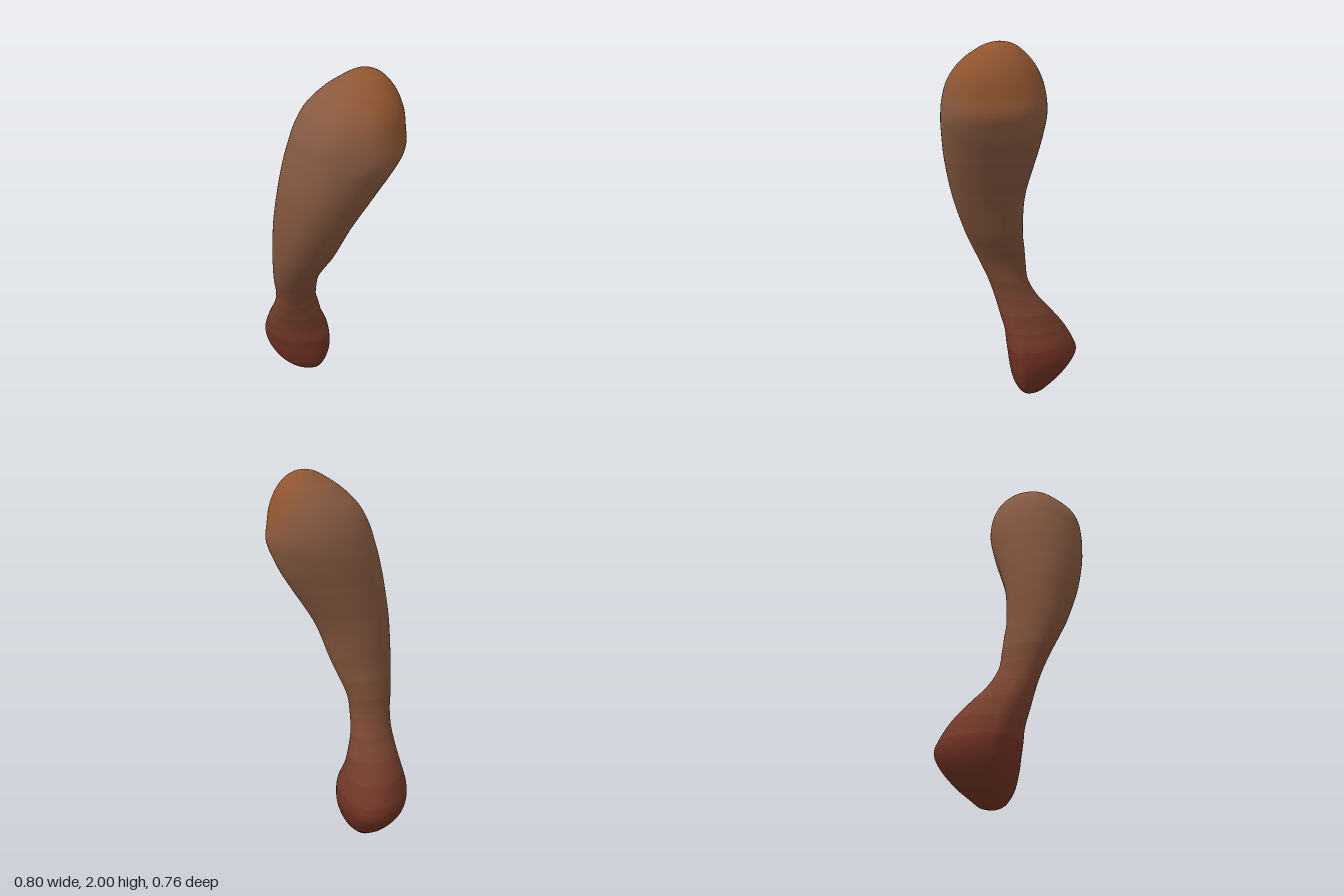
import * as THREE from 'three';
import { mergeVertices } from 'three/addons/utils/BufferGeometryUtils.js';

const { smoothstep, lerp, clamp } = THREE.MathUtils;

// Cross-sections from bottom to top: y, xMin, xMax, zMin, zMax
const SECTIONS = [
  [0, -0.16, -0.16, -0.12, -0.12],
  [0.01, -0.21, -0.11, -0.165, -0.075],
  [0.04, -0.26, -0.06, -0.205, -0.035],
  [0.1, -0.325, -0.025, -0.28, 0],
  [0.18, -0.38, 0, -0.35, 0.02],
  [0.25, -0.4, 0.005, -0.38, 0.03],
  [0.32, -0.395, -0.005, -0.355, 0.04],
  [0.4, -0.37, -0.04, -0.305, 0.05],
  [0.5, -0.33, -0.06, -0.225, 0.08],
  [0.6, -0.295, -0.07, -0.14, 0.11],
  [0.7, -0.28, -0.06, -0.085, 0.145],
  [0.8, -0.28, -0.04, -0.07, 0.19],
  [0.9, -0.275, 0.01, -0.06, 0.235],
  [1.0, -0.27, 0.065, -0.05, 0.275],
  [1.2, -0.255, 0.155, -0.06, 0.335],
  [1.4, -0.225, 0.27, -0.105, 0.37],
  [1.55, -0.195, 0.358, -0.145, 0.38],
  [1.64, -0.17, 0.397, -0.162, 0.38],
  [1.73, -0.14, 0.392, -0.158, 0.37],
  [1.82, -0.09, 0.378, -0.135, 0.34],
  [1.9, -0.01, 0.342, -0.09, 0.28],
  [1.96, 0.08, 0.292, -0.03, 0.2],
  [1.99, 0.14, 0.24, 0.02, 0.135],
  [2, 0.19, 0.19, 0.08, 0.08],
];

// Extra fullness of the diagonals: y, back left, front right, front left
const FULLNESS = [
  [0, 0, 0, 0],
  [0.25, 0, 0, 0],
  [0.45, 0.12, 0, 0],
  [0.65, 0, 0, 0],
  [1.1, 0.08, -0.02, 0],
  [1.45, 0.15, -0.03, 0.01],
  [1.65, 0.06, -0.04, 0.04],
  [1.85, 0, -0.12, 0.03],
  [2, 0, 0, 0],
];

function fullnessAt(y) {
  const k = Math.max(1, FULLNESS.findIndex((row) => row[0] >= y));
  const [low, high] = [FULLNESS[k - 1], FULLNESS[k]];
  const t = smoothstep(y, low[0], high[0]);
  return [1, 2, 3].map((i) => lerp(low[i], high[i], t));
}

// Colour zones: height bands along the body and rings around the crown
const BANDS = 20, RINGS = 6, CROWN_RADIUS = 0.36;
const crownCentre = new THREE.Vector3(0.32, 1.87, 0.1);
const STOPS = [[0.25, 0x6c3022], [0.5, 0x75402d], [0.9, 0x7c5039], [2, 0x895d45]];

function bodyColor(y) {
  const color = new THREE.Color(STOPS[0][1]);
  for (let i = 1; i < STOPS.length; i++) {
    const t = clamp((y - STOPS[i - 1][0]) / (STOPS[i][0] - STOPS[i - 1][0]), 0, 1);
    color.lerp(new THREE.Color(STOPS[i][1]), t);
  }
  return color;
}

const zones = [];
for (let i = 0; i < BANDS; i++) {
  const y = ((i + 0.5) / BANDS) * 2;
  const part = y < 0.45 ? 'foot' : y < 0.8 ? 'ankle' : 'shaft';
  zones.push({ name: `${part}Band${i + 1}`, color: bodyColor(y) });
}
for (let i = 0; i < RINGS; i++) {
  const color = new THREE.Color(0x90552f).lerp(bodyColor(1.8), i / RINGS);
  zones.push({ name: `crownRing${i + 1}`, color });
}

function zoneAt(p) {
  const d = p.distanceTo(crownCentre) / CROWN_RADIUS;
  if (d < 1) return BANDS + Math.floor(smoothstep(d, 0.35, 1) * RINGS);
  return Math.min(BANDS - 1, Math.floor((p.y / 2) * BANDS));
}

// One closed smooth loft through all the sections
function loftBody(rows, sides) {
  const centres = [], radii = [];
  for (const [y, x0, x1, z0, z1] of SECTIONS) {
    centres.push(new THREE.Vector3((x0 + x1) / 2, y, (z0 + z1) / 2));
    radii.push(new THREE.Vector3((x1 - x0) / 2, 0, (z1 - z0) / 2));
  }
  const path = new THREE.CatmullRomCurve3(centres, false, 'catmullrom', 0.5);
  const size = new THREE.CatmullRomCurve3(radii, false, 'catmullrom', 0.5);
  const pos = [], index = [];
  for (let i = 0; i <= rows; i++) {
    const c = path.getPoint(i / rows), r = size.getPoint(i / rows);
    // Foot sections are egg-shaped, narrow at the back; foot and ankle lean diagonally
    const egg = 1 - smoothstep(c.y, 0.35, 0.7), shift = 0.4 * egg;
    const skew = 0.16 - 0.36 * smoothstep(c.y, 0.4, 0.65) + 0.2 * smoothstep(c.y, 0.8, 1.2);
    const [backLeft, frontRight, frontLeft] = fullnessAt(c.y);
    for (let j = 0; j < sides; j++) {
      const a = (j / sides) * Math.PI * 2;
      const co = Math.cos(a), s = Math.sin(a + skew), back = Math.max(0, -s);
      const corner = co > 0 ? (Math.sin(a) < 0 ? backLeft : frontLeft) : (Math.sin(a) > 0 ? frontRight : 0);
      const full = 1 + corner * Math.sin(2 * a) ** 2;
      const x = r.x * co * (1 - 0.15 * egg * back * back);
      const z = r.z * (shift + s * (s < 0 ? 1 + shift : 1 - shift));
      pos.push(c.x + x * full, c.y, c.z + z * full);
      if (i === rows) continue;
      const p = i * sides + j, q = i * sides + ((j + 1) % sides);
      index.push(p, p + sides, q, q, p + sides, q + sides);
    }
  }
  // Both end rings shrink to a single point
  for (const [start, end] of [[0, centres[0]], [rows * sides, centres.at(-1)]]) {
    for (let j = 0; j < sides; j++) end.toArray(pos, (start + j) * 3);
  }
  const geo = new THREE.BufferGeometry();
  geo.setAttribute('position', new THREE.Float32BufferAttribute(pos, 3));
  geo.setIndex(index);
  const merged = mergeVertices(geo, 1e-5);
  merged.computeVertexNormals();
  return merged;
}

export function createModel() {
  const group = new THREE.Group();
  group.name = 'clubShape';
  const body = loftBody(184, 80);
  const pos = body.attributes.position, idx = body.index.array;

  // Sort the faces into colour zones that share the same smooth normals
  const faces = zones.map(() => []);
  const mid = new THREE.Vector3(), v = new THREE.Vector3();
  for (let f = 0; f < idx.length; f += 3) {
    const tri = [idx[f], idx[f + 1], idx[f + 2]];
    if (new Set(tri).size < 3) continue;
    mid.set(0, 0, 0);
    tri.forEach((n) => mid.addScaledVector(v.fromBufferAttribute(pos, n), 1 / 3));
    faces[zoneAt(mid)].push(...tri);
  }
  zones.forEach(({ name, color }, i) => {
    if (!faces[i].length) return;
    const geo = new THREE.BufferGeometry();
    geo.setAttribute('position', pos);
    geo.setAttribute('normal', body.attributes.normal);
    geo.setIndex(faces[i]);
    const mesh = new THREE.Mesh(geo, new THREE.MeshStandardMaterial({ color }));
    mesh.name = name;
    group.add(mesh);
  });
  return group;
}
